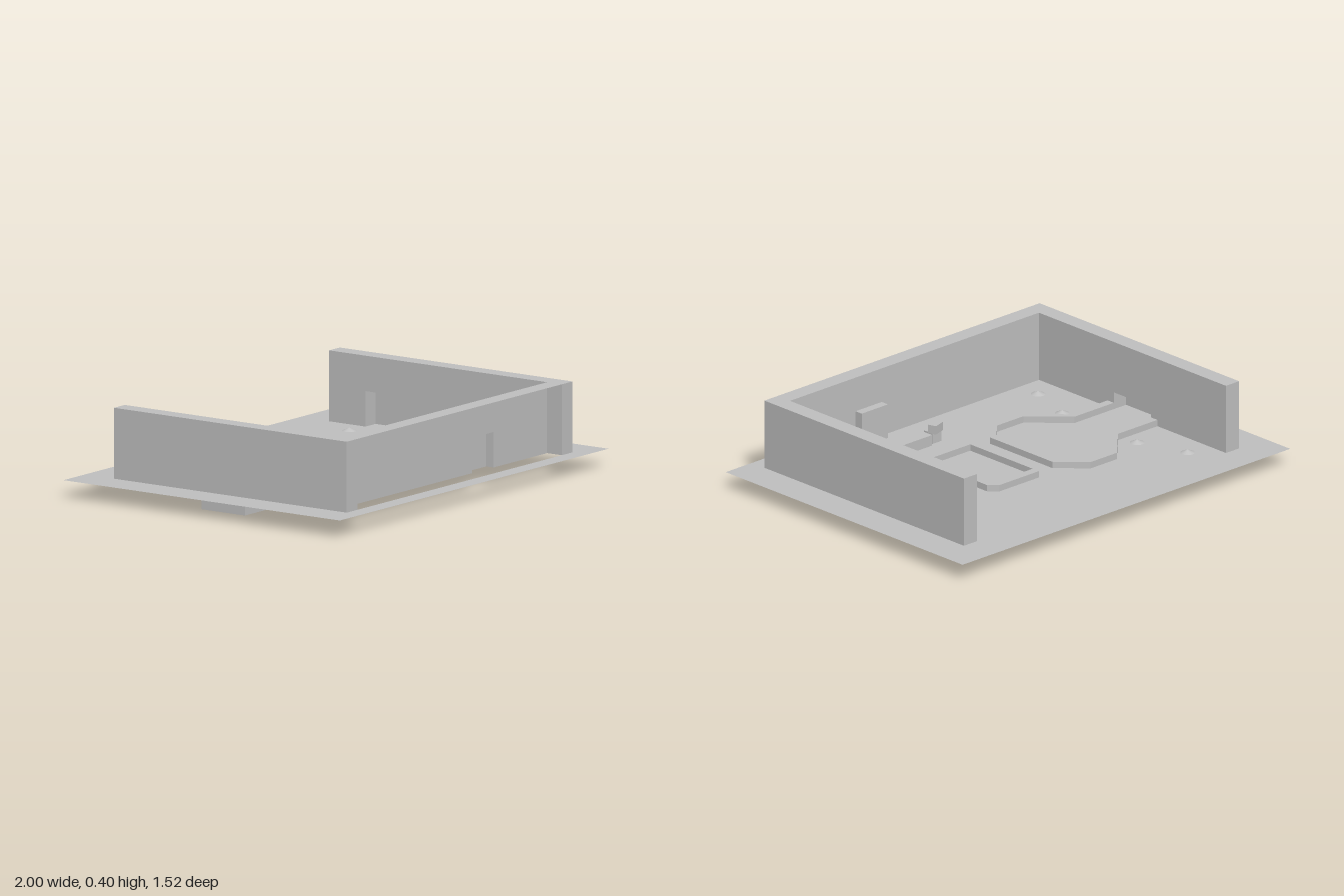
import * as THREE from 'three';

export function createModel() {
  const model = new THREE.Group();
  const grey = new THREE.MeshStandardMaterial({ color: 0xbfbfbf, side: THREE.DoubleSide });
  grey.name = 'plain grey';
  const FLOOR = 0.08, TOP = 0.4, RIM = 0.11;

  const add = (name, geometry, x = 0, y = 0, z = 0) => {
    const mesh = new THREE.Mesh(geometry, grey);
    mesh.name = name;
    mesh.position.set(x, y, z);
    model.add(mesh);
    return mesh;
  };
  const rect = (x0, x1, z0, z1) => [[x0, z0], [x1, z0], [x1, z1], [x0, z1]];
  const vectors = (pts, sign = 1) => pts.map(([a, b]) => new THREE.Vector2(a, sign * b));

  // Horizontal sheet outlined in x, z
  const sheet = (name, outline, y, holes = []) => {
    const shape = new THREE.Shape(vectors(outline, -1));
    shape.holes = holes.map((h) => new THREE.Path(vectors(h, -1)));
    return add(name, new THREE.ShapeGeometry(shape).rotateX(-Math.PI / 2), 0, y, 0);
  };
  // Upright sheets following a path in x, z
  const upright = (name, path, y0, y1, closed = false) => {
    const pos = [];
    const count = closed ? path.length : path.length - 1;
    for (let i = 0; i < count; i++) {
      const [ax, az] = path[i], [bx, bz] = path[(i + 1) % path.length];
      pos.push(ax, y0, az, bx, y0, bz, bx, y1, bz, ax, y0, az, bx, y1, bz, ax, y1, az);
    }
    const g = new THREE.BufferGeometry();
    g.setAttribute('position', new THREE.Float32BufferAttribute(pos, 3));
    g.computeVertexNormals();
    return add(name, g);
  };
  // Wall sheet with a doorway from a to b, as a shape in (along, y)
  const wallShape = (u0, u1, a, b, h) => new THREE.ShapeGeometry(new THREE.Shape(vectors([
    [u0, FLOOR], [a, FLOOR], [a, h], [b, h], [b, FLOOR], [u1, FLOOR], [u1, TOP], [u0, TOP],
  ])));

  // Pool outlines
  const poolOuter = [[-0.76, -0.16], [-0.52, -0.16], [-0.36, -0.32], [-0.2, -0.32], [-0.08, -0.2],
    [-0.08, 0.2], [-0.2, 0.32], [-0.36, 0.32], [-0.52, 0.16], [-0.76, 0.16]];
  const poolInner = [[-0.76, -0.12], [-0.52, -0.12], [-0.36, -0.28], [-0.2, -0.28], [-0.12, -0.2],
    [-0.12, 0.2], [-0.2, 0.28], [-0.36, 0.28], [-0.52, 0.12], [-0.76, 0.12]];
  const channel = [[-0.84, 0.12], [-0.84, -0.12]];
  const basinOuter = [[0.04, -0.24], [0.28, -0.24], [0.32, -0.2], [0.32, 0.2], [0.28, 0.24],
    [0.04, 0.24], [0, 0.2], [0, -0.2]];
  const basinInner = rect(0.04, 0.28, -0.2, 0.2);
  const drain = rect(0.12, 0.2, -0.1, 0.1);

  // Ground sheet, open beneath the hollow walls, rims and bench
  sheet('floor', rect(-1, 1, -0.76, 0.76), FLOOR, [
    [[-0.84, 0.68], [0.84, 0.68], [0.84, -0.28], [0.76, -0.28], [0.76, 0.6], [0.36, 0.6],
      [0.36, 0.56], [0.2, 0.56], [0.2, 0.6], [-0.84, 0.6]],
    rect(0.76, 0.84, -0.6, -0.4),
    rect(-0.84, -0.76, -0.6, -0.22),
    [...poolOuter, [-0.76, 0.12], ...channel, [-0.76, -0.12]],
    basinOuter,
    rect(0.12, 0.52, 0.36, 0.44),
  ]);

  // Hollow walls around three sides
  sheet('wallTop', [[-0.84, -0.6], [-0.76, -0.6], [-0.76, 0.6], [0.76, 0.6], [0.76, -0.6],
    [0.84, -0.6], [0.84, 0.68], [-0.84, 0.68]], TOP);
  for (const s of [-1, 1]) {
    const side = s > 0 ? 'left' : 'right';
    upright(side + 'WallOuter', [[s * 0.76, -0.6], [s * 0.84, -0.6], [s * 0.84, 0.68],
      [s * 0.76, 0.68], [s * 0.76, 0.6]], FLOOR, TOP);
    const [a, b, h] = s > 0 ? [-0.4, -0.28, 0.24] : [-0.12, 0.12, 0.16];
    // Inner sheet with its alcove
    add(side + 'WallInner', wallShape(-0.6, 0.6, a, b, h).rotateY(-Math.PI / 2), s * 0.76);
    upright(side + 'AlcoveSides', [[s * 0.76, a], [s * 0.835, a], [s * 0.835, b], [s * 0.76, b]], FLOOR, h);
    sheet(side + 'AlcoveTop', rect(Math.min(s * 0.76, s * 0.835), Math.max(s * 0.76, s * 0.835), a, b), h);
  }
  add('frontWall', wallShape(-0.76, 0.76, 0.2, 0.36, 0.24), 0, 0, 0.6);
  upright('frontAlcoveSides', [[0.2, 0.6], [0.2, 0.56], [0.36, 0.56], [0.36, 0.6]], FLOOR, 0.24);
  sheet('frontAlcoveTop', rect(0.2, 0.36, 0.56, 0.6), 0.24);

  // Large pool with its channel through the wall
  const poolBed = [...poolInner, ...channel];
  sheet('poolSurface', poolBed, FLOOR);
  sheet('poolBottom', poolBed, 0);
  upright('poolSides', poolBed, 0, FLOOR, true);
  sheet('poolRimTop', [...poolOuter, ...[...poolInner].reverse()], RIM);
  upright('poolRimOuter', poolOuter, FLOOR, RIM);
  upright('poolRimInner', poolInner, FLOOR, RIM);

  // Small basin with a drain opening underneath
  sheet('basinSurface', basinInner, FLOOR);
  sheet('basinBottom', basinInner, 0, [drain]);
  upright('basinSides', basinInner, 0, FLOOR, true);
  upright('drainSides', drain, 0, FLOOR, true);
  sheet('basinRimTop', basinOuter, RIM, [basinInner]);
  upright('basinRimOuter', basinOuter, FLOOR, RIM, true);
  upright('basinRimInner', basinInner, FLOOR, RIM, true);

  // Bench, hollow underneath, between two small posts
  const bench = rect(0.12, 0.52, 0.36, 0.44);
  sheet('benchTop', bench, 0.13);
  upright('benchSides', bench, FLOOR, 0.13, true);
  for (const s of [-1, 1]) {
    const x = 0.32 + s * 0.24;
    add('postBase', new THREE.BoxGeometry(0.055, 0.05, 0.055), x, FLOOR + 0.025, 0.4);
    add('postHead', new THREE.BoxGeometry(0.065, 0.04, 0.04), x, 0.15, 0.38).rotation.y = -s * 0.3;
  }

  // Low studs scattered on the floor
  const studs = [[-0.64, -0.48], [-0.56, -0.24], [-0.56, 0.24], [-0.64, 0.48], [0.64, -0.4],
    [0.56, -0.24], [0.48, 0], [0.56, 0.24], [0.64, 0.4]];
  const cone = new THREE.ConeGeometry(0.033, 0.015, 12, 1, true);
  for (const [x, z] of studs) add('stud', cone, x, FLOOR + 0.0085, z);

  return model;
}
